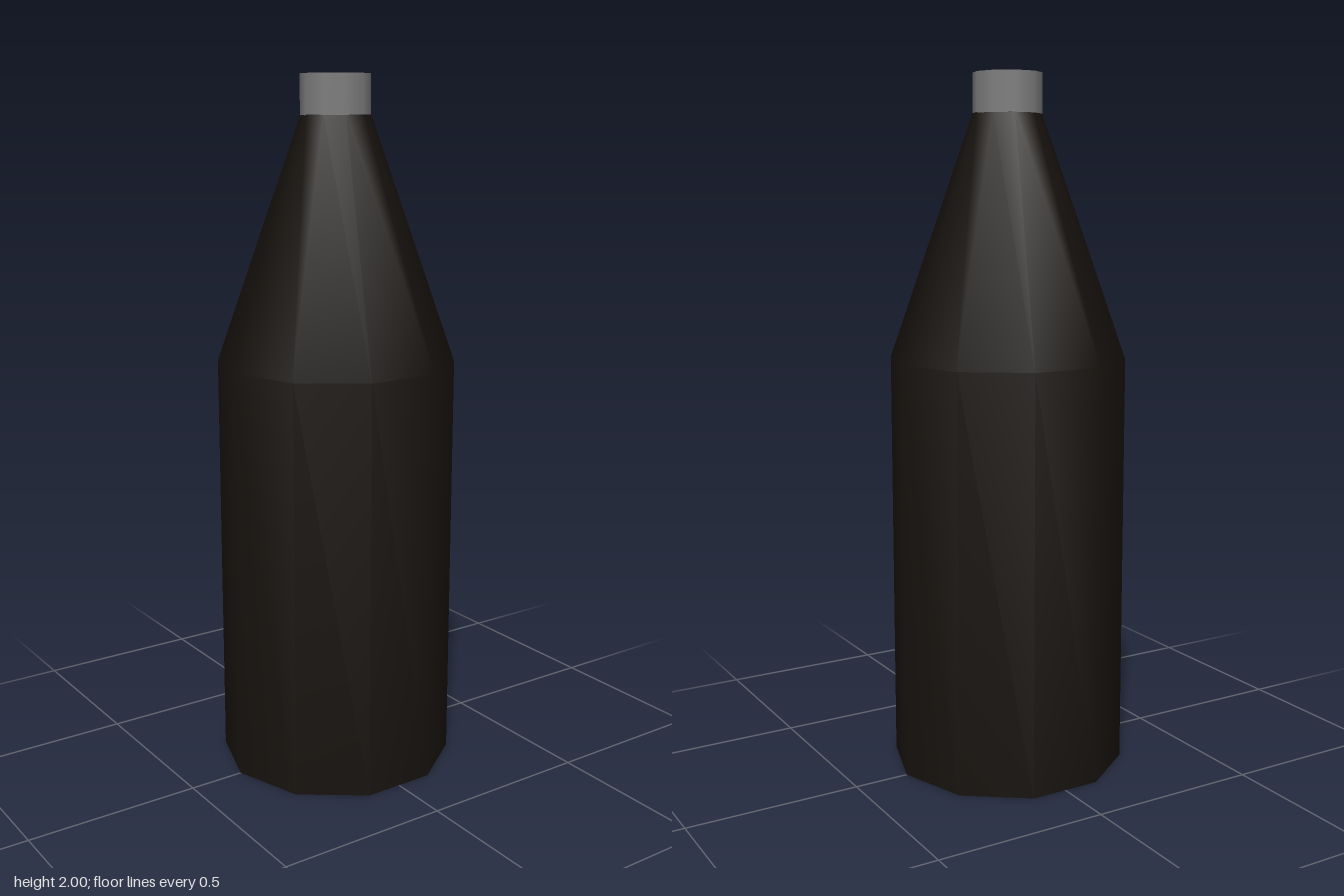
import * as THREE from 'three';

const SIDES = 10;

// Ten-sided turned part with corners on the x axis. Repeating a profile point keeps that edge sharp.
function turned(name, profile, color) {
  const points = profile.map(([r, y]) => new THREE.Vector2(r, y));
  const geometry = new THREE.LatheGeometry(points, SIDES, Math.PI / 2);
  const mesh = new THREE.Mesh(geometry, new THREE.MeshStandardMaterial({ color }));
  mesh.name = name;
  return mesh;
}

export function createModel() {
  const group = new THREE.Group();
  group.name = 'bottle';

  // Straight body tapering through the shoulder to the neck
  const body = turned('body', [
    [0, 0], [0.34, 0], [0.34, 0],
    [0.34, 1.2],
    [0.098, 1.89], [0.098, 1.89], [0, 1.89],
  ], 0x17120e);

  // Short cap on the neck
  const cap = turned('cap', [
    [0, 1.888], [0.098, 1.888], [0.098, 1.888],
    [0.098, 2], [0.098, 2], [0, 2],
  ], 0x7c7c7c);
  cap.position.z = -0.002;

  group.add(body, cap);
  return group;
}
